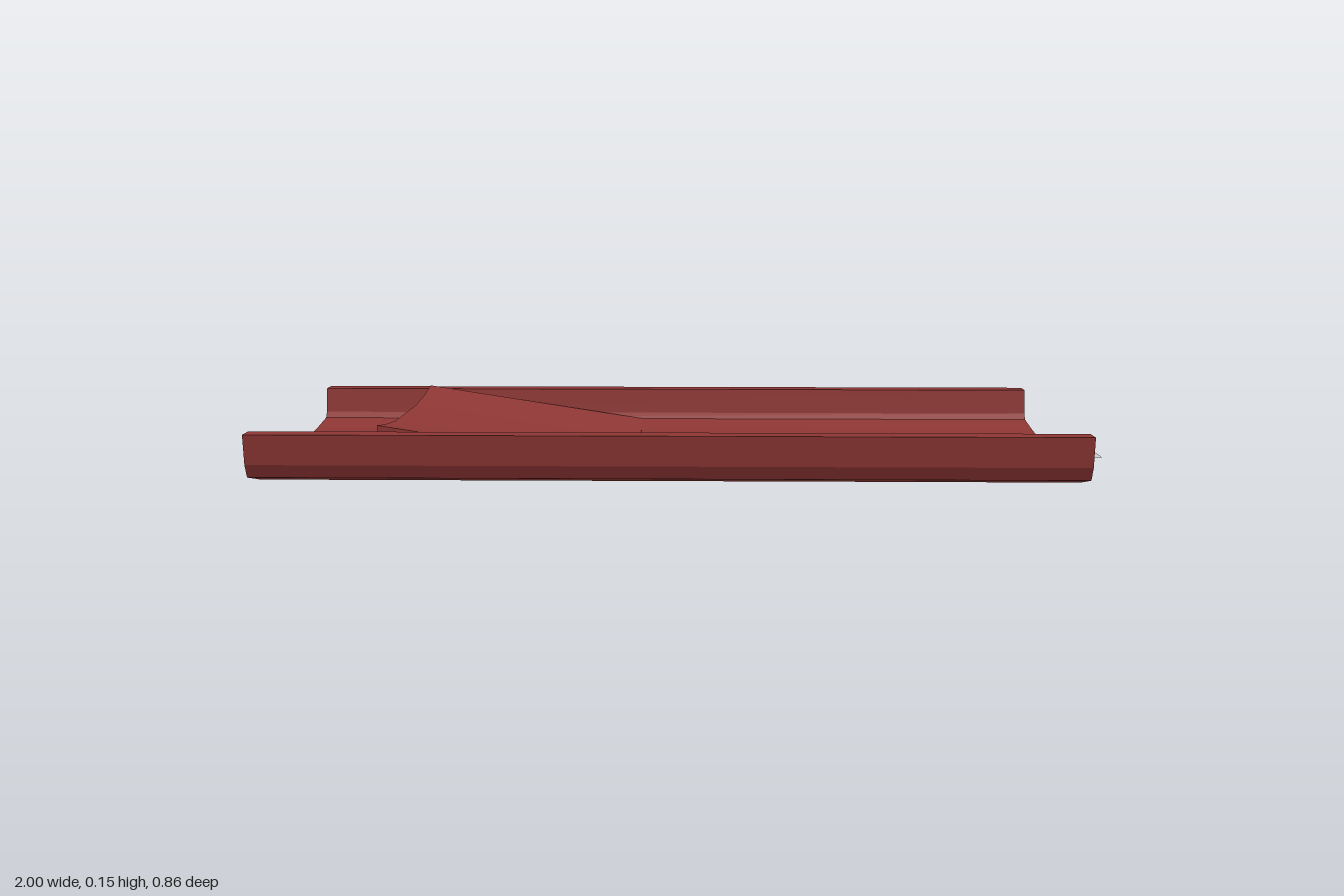
import * as THREE from 'three';

const HALF_LENGTH = 0.905;
const RAMP = { start: -0.63, end: -0.08, height: 0.085 };
const TAB_Y = 0.042;

// Half profiles as [distance from the centre line, height]
const FLOOR = [[0.14, 0.045], [0.26, 0.054], [0.36, 0.066]];
const OUTER = [[0.14, 0.001], [0.3, 0.02], [0.405, 0.043], [0.422, 0.073], [0.432, 0.14]];
const WALL = [[0.372, 0.08], [0.38, 0.14]];

const mirrored = (half) => [...half.map(([s, y]) => [-s, y]).reverse(), ...half];

// Closed band between a lower and an upper half profile, extruded along x
function extrudeBand(lower, upper, x0, x1) {
  const points = [...mirrored(lower), ...mirrored(upper).reverse()];
  const shape = new THREE.Shape(points.map(([s, y]) => new THREE.Vector2(s, y)));
  const geometry = new THREE.ExtrudeGeometry(shape, { depth: x1 - x0, bevelEnabled: false });
  return geometry.rotateY(Math.PI / 2).translate(x0, 0, 0);
}

function floorHeight(z) {
  const s = Math.abs(z);
  for (let i = 1; i < FLOOR.length; i++) {
    const [s0, y0] = FLOOR[i - 1], [s1, y1] = FLOOR[i];
    if (s <= s1) return y0 + (y1 - y0) * Math.max(0, (s - s0) / (s1 - s0));
  }
  return FLOOR[FLOOR.length - 1][1];
}

export function createModel() {
  const group = new THREE.Group();
  group.name = 'rampTrough';
  const red = new THREE.MeshStandardMaterial({ color: 0x8d3634, flatShading: true });
  const grey = new THREE.MeshStandardMaterial({ color: 0xcccccc, side: THREE.DoubleSide });

  const add = (name, geometry, material) => {
    const mesh = new THREE.Mesh(geometry, material);
    mesh.name = name;
    group.add(mesh);
    return mesh;
  };

  // Curved trough with raised side walls
  add('trough', extrudeBand(OUTER, [...FLOOR, ...WALL], -HALF_LENGTH, HALF_LENGTH), red);

  // Ramp: a band following the floor, tapered to nothing at its low end
  const raised = FLOOR.map(([s, y]) => [s, y + RAMP.height]);
  const ramp = extrudeBand(FLOOR, raised, RAMP.start, RAMP.end);
  const position = ramp.attributes.position;
  for (let i = 0; i < position.count; i++) {
    if (position.getX(i) > RAMP.end - 0.01) position.setY(i, floorHeight(position.getZ(i)));
  }
  ramp.computeVertexNormals();
  add('ramp', ramp, red);

  // Thin flat connecting tabs at both ends
  for (const [name, side] of [['leftTab', 1], ['rightTab', -1]]) {
    const tab = new THREE.PlaneGeometry(1 - HALF_LENGTH, 0.18).rotateX(-Math.PI / 2);
    add(name, tab, grey).position.set(side * (1 + HALF_LENGTH) / 2, TAB_Y, 0);
  }

  return group;
}
